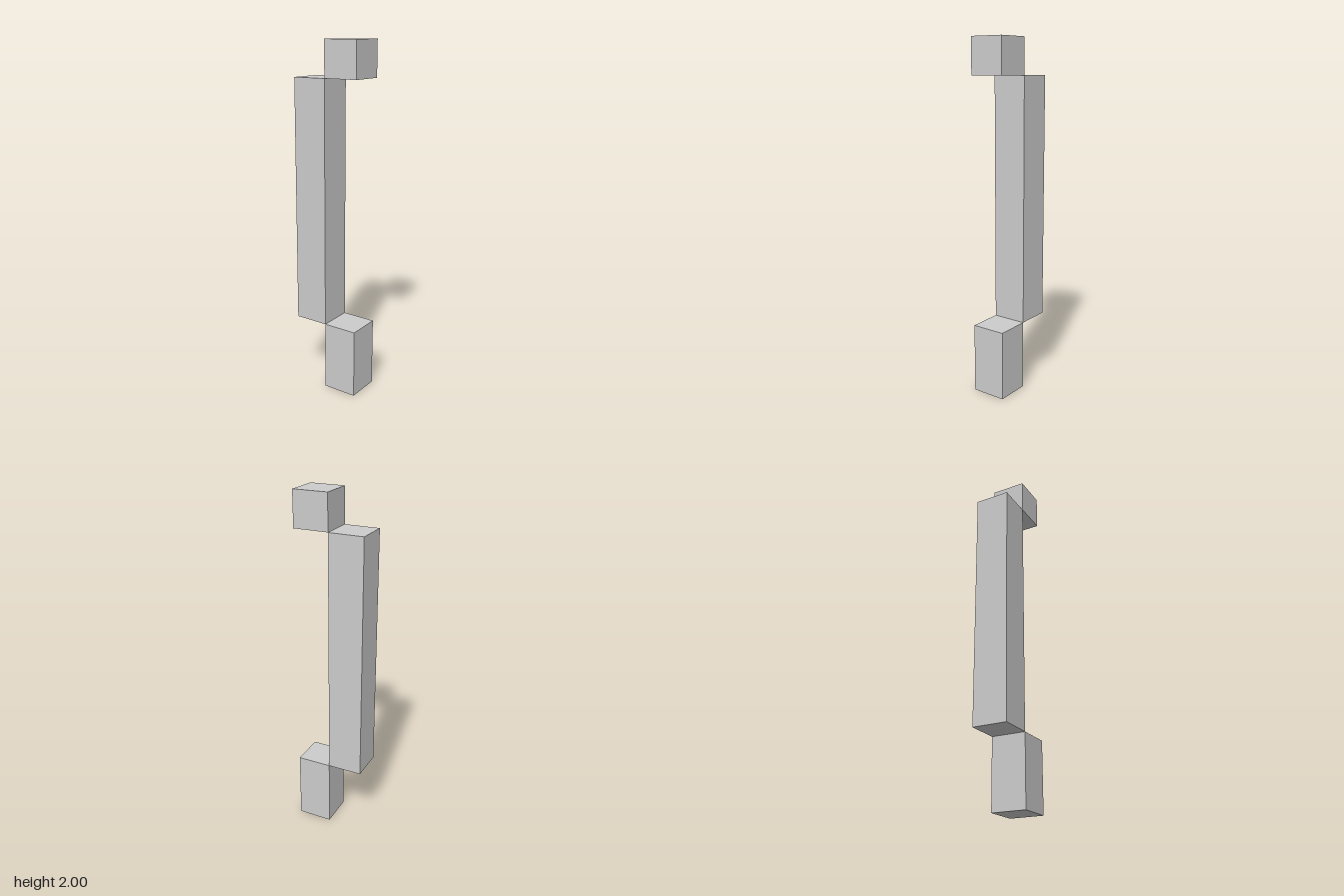
import * as THREE from 'three';

const WIDTH = 0.2;

export function createModel() {
  const model = new THREE.Group();
  model.name = 'offsetBar';
  const material = new THREE.MeshStandardMaterial({ color: 0xcccccc, flatShading: true });

  // Square block spanning bottom to top, centred at x
  const addBlock = (name, x, bottom, top) => {
    const mesh = new THREE.Mesh(new THREE.BoxGeometry(WIDTH, top - bottom, WIDTH), material);
    mesh.name = name;
    mesh.position.set(x, (bottom + top) / 2, 0);
    model.add(mesh);
  };

  // The end blocks touch the long bar along their edges only
  addBlock('lowerBlock', WIDTH / 2, 0, 0.4);
  addBlock('longBar', -WIDTH / 2, 0.4, 1.8);
  addBlock('upperBlock', WIDTH / 2, 1.8, 2);

  return model;
}
